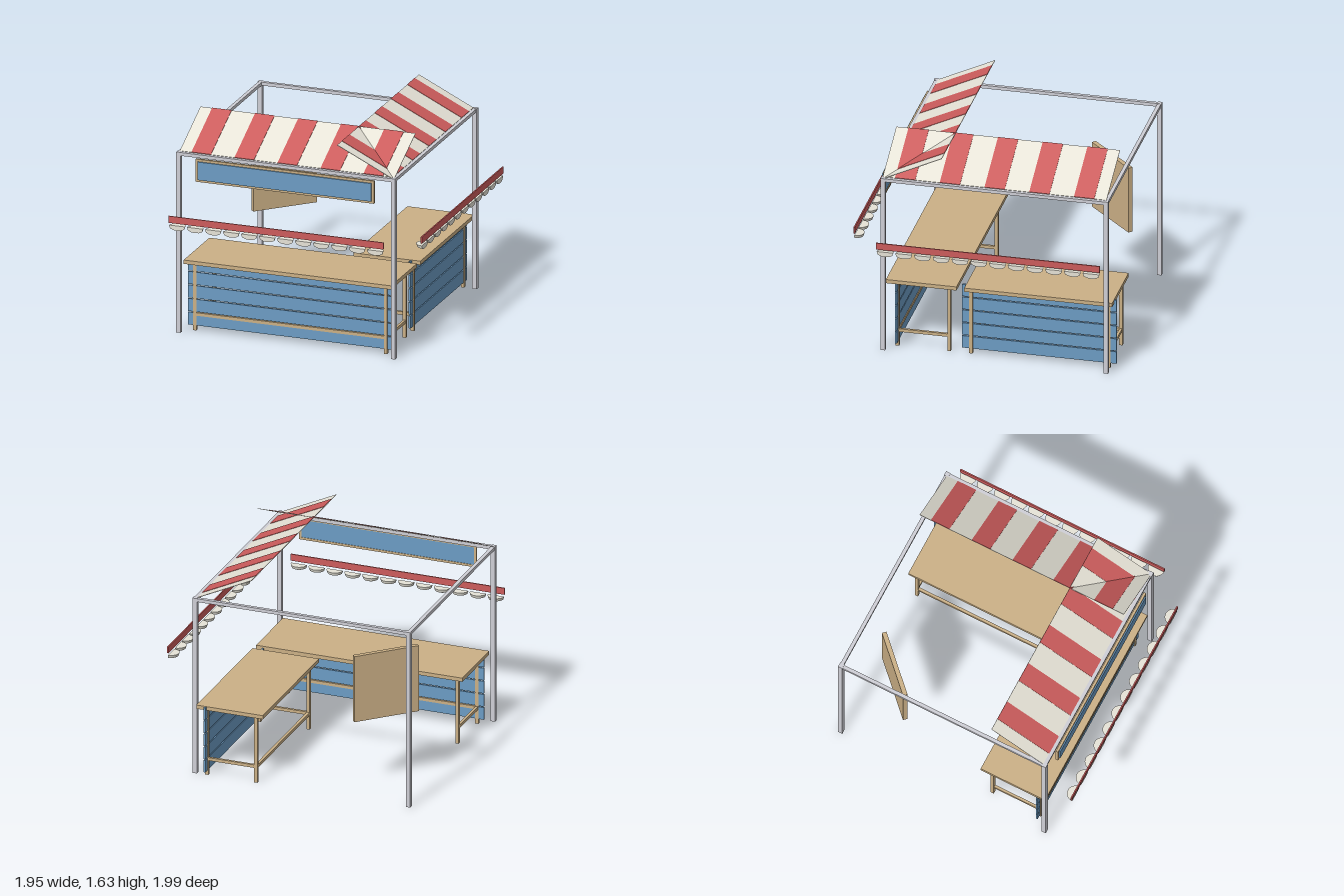
import * as THREE from 'three';

const paint = (color, extra = {}) => new THREE.MeshStandardMaterial({ color, ...extra });
const wood = paint(0xcbb086);
const blue = paint(0x6c9cc4);
const red = paint(0xcc5c5c);
const canvas = paint(0xe6e3d7);
const shell = paint(0xe6e3d7, { side: THREE.DoubleSide, flatShading: true });
const metal = paint(0xcfcfd6);

// Box given by its extents on each axis
function block(parent, name, mat, [x0, x1], [y0, y1], [z0, z1]) {
  const mesh = new THREE.Mesh(new THREE.BoxGeometry(x1 - x0, y1 - y0, z1 - z0), mat);
  mesh.position.set((x0 + x1) / 2, (y0 + y1) / 2, (z0 + z1) / 2);
  mesh.name = name;
  parent.add(mesh);
  return mesh;
}

const around = (c, w) => [c - w / 2, c + w / 2];

function group(parent, name) {
  const g = new THREE.Group();
  g.name = name;
  parent.add(g);
  return g;
}

// Four posts joined by top beams
function buildFrame(root) {
  const g = group(root, 'frame');
  const xs = [-0.96, 0.747], zs = [-0.937, 0.768], w = 0.035;
  for (const x of xs) {
    for (const z of zs) block(g, 'post', metal, around(x, w), [0, 1.42], around(z, w));
    block(g, 'sideBeam', metal, around(x, 0.028), [1.392, 1.418], [zs[0] + w / 2, zs[1] - w / 2]);
  }
  for (const z of zs) {
    block(g, 'crossBeam', metal, [xs[0] + w / 2, xs[1] - w / 2], [1.392, 1.418], around(z, 0.028));
  }
}

// Striped sloping sheet; the low edge is at z = low, the high edge further in
function buildAwning(root, centre, low) {
  const g = group(root, 'awning');
  const run = 0.433, rise = 0.208, length = 1.71, period = length / 5;
  const slope = Math.hypot(run, rise);
  g.position.set(centre, 1.42 + rise / 2, low - run / 2);
  g.rotation.x = Math.atan2(rise, run);
  block(g, 'canvasSheet', canvas, around(0, length), [-0.003, 0.001], around(0, slope));
  for (let i = -2; i <= 2; i++) {
    block(g, 'redStripe', red, around(i * period, 0.155), [0.0005, 0.004], around(0, slope + 0.001));
  }
}

// Hanging red band with a row of half bowls below it
function buildValance(root, centre, out) {
  const g = group(root, 'valance');
  g.position.set(centre, 0, out);
  block(g, 'valanceBand', red, around(0, 1.71), [0.932, 0.985], [-0.01, 0]);
  const profile = [[0, 0.875], [0.03, 0.878], [0.056, 0.89], [0.064, 0.914], [0, 0.914]]
    .map(([r, y]) => new THREE.Vector2(r, y));
  const bowl = new THREE.LatheGeometry(profile, 14, Math.PI / 2, Math.PI);
  const rim = profile.slice(0, 4);
  const mirrored = rim.slice(1).reverse().map(p => new THREE.Vector2(-p.x, p.y));
  const face = new THREE.ShapeGeometry(new THREE.Shape([...rim, ...mirrored]));
  for (let i = 0; i < 12; i++) {
    const scallop = group(g, 'scallop');
    scallop.position.set((i - 5.5) * 0.1432, 0, -0.004);
    scallop.add(new THREE.Mesh(bowl, shell), new THREE.Mesh(face, shell));
  }
}

// Table with a slatted front; x runs along it, z points to the customer
function buildCounter(root, name, { top, depth, legX, legZ, slats, barZ }) {
  const g = group(root, name);
  const w = 0.026, barY = [0.115, 0.139];
  block(g, 'tableTop', wood, top, [0.535, 0.565], depth);
  for (const x of legX) {
    for (const z of legZ) block(g, 'leg', wood, around(x, w), [0, 0.535], around(z, w));
    block(g, 'endStretcher', wood, around(x, 0.02), barY, legZ);
  }
  block(g, 'longStretcher', wood, legX, barY, around(barZ, 0.022));
  for (let i = 0; i < 5; i++) {
    const y = 0.038 + i * 0.1065;
    block(g, 'slat', blue, slats, [y, y + 0.098], around(legZ[1], 0.014));
  }
}

// Framed sign above the front counter
function buildSign(root) {
  const g = group(root, 'sign');
  const x = [-0.815, 0.602], y = [1.212, 1.39], z = [0.785, 0.805], t = 0.018;
  block(g, 'signPanel', blue, [x[0] + t, x[1] - t], [y[0] + t, y[1] - t], [0.789, 0.815]);
  for (const y0 of [y[0], y[1] - t]) block(g, 'signRail', wood, x, [y0, y0 + t], z);
  for (const x0 of [x[0], x[1] - t]) block(g, 'signStile', wood, [x0, x0 + t], [y[0] + t, y[1] - t], z);
}

export function createModel() {
  const root = new THREE.Group();
  root.name = 'marketStall';
  buildFrame(root);
  buildSign(root);

  // Front side
  const front = group(root, 'frontSide');
  buildAwning(front, -0.105, 0.755);
  buildValance(front, -0.105, 0.995);
  buildCounter(front, 'frontCounter', {
    top: [-0.93, 0.72], depth: [0.215, 0.755], legX: [-0.865, 0.652], legZ: [0.285, 0.68],
    slats: [-0.92, 0.71], barZ: 0.68,
  });

  // The +x side: same parts turned a quarter, so their x runs along -z
  const side = group(root, 'leftSide');
  side.rotation.y = Math.PI / 2;
  buildAwning(side, 0.08, 0.733);
  buildValance(side, 0.085, 0.972);
  buildCounter(side, 'sideCounter', {
    top: [-0.155, 0.975], depth: [0.193, 0.725], legX: [-0.118, 0.935], legZ: [0.26, 0.652],
    slats: [-0.187, 0.995], barZ: 0.26,
  });

  // Upright board standing askew in the open corner
  const board = block(root, 'uprightBoard', wood, around(0, 0.52), [0.568, 1.1], around(0, 0.035));
  board.position.set(-0.66, board.position.y, -0.645);
  board.rotation.y = Math.PI / 4;
  return root;
}
